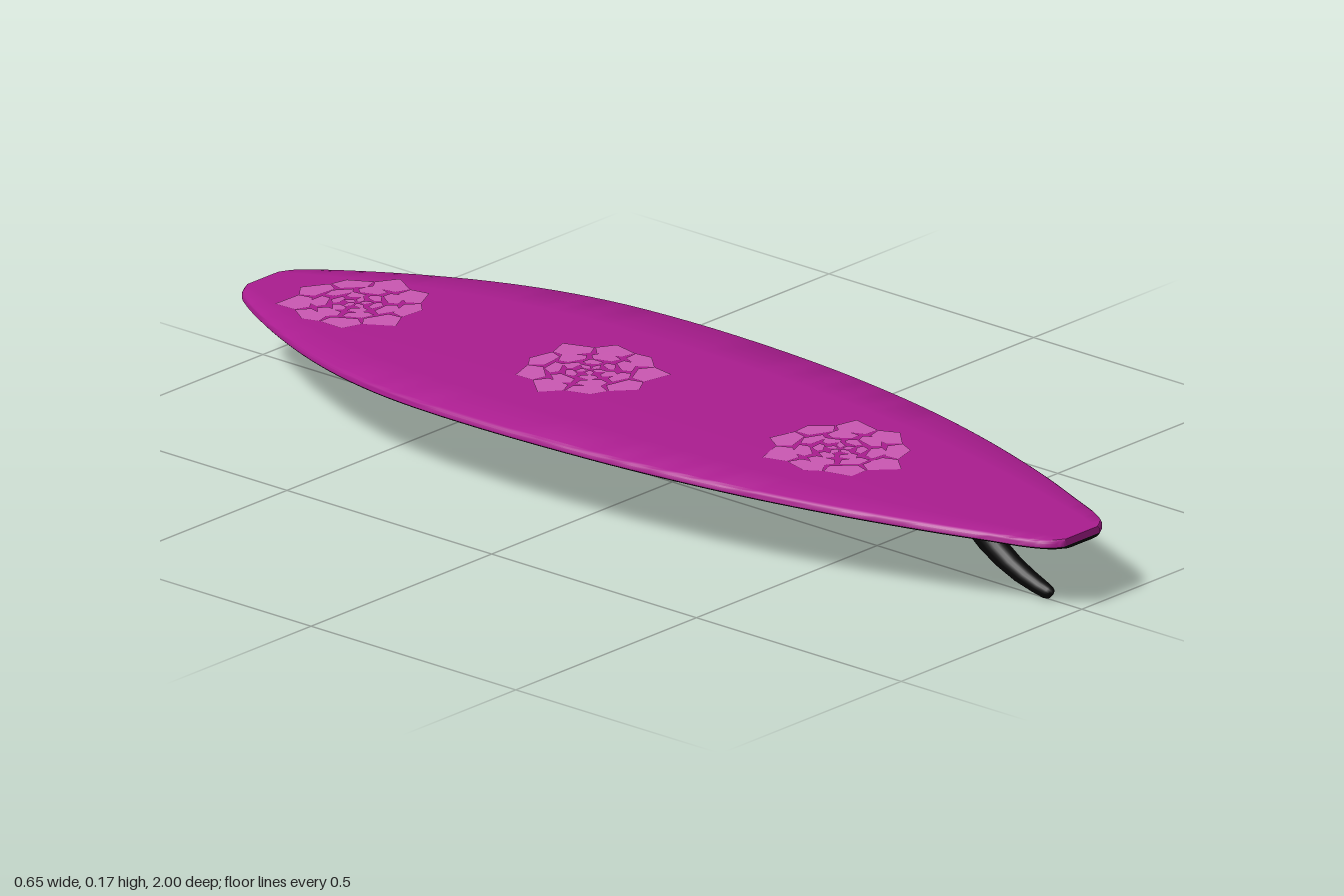
import * as THREE from 'three';
import { mergeGeometries, toCreasedNormals } from 'three/addons/utils/BufferGeometryUtils.js';

// Half width of the board along z, from nose to tail
const OUTLINE = [
  [-1, 0.05], [-0.985, 0.075], [-0.95, 0.103], [-0.9, 0.135], [-0.79, 0.195], [-0.66, 0.252],
  [-0.53, 0.292], [-0.39, 0.316], [-0.18, 0.325], [0.08, 0.314], [0.25, 0.295], [0.4, 0.27],
  [0.55, 0.235], [0.67, 0.2], [0.78, 0.163], [0.88, 0.124], [0.95, 0.096], [0.985, 0.073], [1, 0.05],
];
const SEAM = -0.014;

// Height of the deck: bent down toward both ends, slightly domed across
const deckY = (x, z) => 0.172 - 0.02 * z * z - 0.004 * (x / 0.325) ** 2;

// Surface through rows of points, all rows the same length
function skin(rows) {
  const n = rows[0].length, index = [];
  for (let i = 0; i < rows.length - 1; i++) {
    for (let j = 0; j < n - 1; j++) {
      const a = i * n + j, c = a + n;
      index.push(a, a + 1, c, a + 1, c + 1, c);
    }
  }
  const geo = new THREE.BufferGeometry();
  geo.setAttribute('position', new THREE.Float32BufferAttribute(rows.flat(2), 3));
  geo.setIndex(index);
  geo.computeVertexNormals();
  return geo;
}

// Half of the board; rail is a list of [inset from edge, drop], starting at the seam
function boardShell(rail, upward) {
  const curve = new THREE.CatmullRomCurve3(OUTLINE.map(([z, w]) => new THREE.Vector3(w, 0, z)), false, 'centripetal');
  const stations = curve.getPoints(72);
  const inner = rail[rail.length - 1];
  const row = (p, flat) => {
    const w = p.x;
    const half = rail.map(([inset, drop]) => [w - inset, drop]);
    half.push([(w - inner[0]) * 0.66, inner[1]], [(w - inner[0]) * 0.33, inner[1]]);
    const full = [...half, [0, inner[1]], ...half.map(([x, d]) => [-x, d]).reverse()];
    if (!upward) full.reverse();
    return full.map(([x, d]) => [x, deckY(x, p.z) + (flat ? SEAM : d), p.z]);
  };
  // The extra first and last rows fold down to the seam and close the ends
  const rows = [row(stations[0], true), ...stations.map((p) => row(p, false)), row(stations.at(-1), true)];
  return toCreasedNormals(skin(rows), 0.7);
}

// Swept-back fin: each station is [front z, y, back z, y, half width]
function finGeometry() {
  const stations = [
    [0.67, 0.152, 0.755, 0.152, 0.025], [0.695, 0.123, 0.767, 0.125, 0.024],
    [0.722, 0.092, 0.787, 0.104, 0.023], [0.757, 0.063, 0.815, 0.082, 0.022],
    [0.798, 0.039, 0.845, 0.062, 0.0205], [0.842, 0.02, 0.877, 0.046, 0.0185],
    [0.885, 0.008, 0.906, 0.034, 0.016], [0.91, 0.002, 0.924, 0.027, 0.012],
    [0.919, 0.003, 0.93, 0.023, 0.008], [0.928, 0.011, 0.931, 0.017, 0.002],
    [0.93, 0.014, 0.93, 0.014, 0],
  ];
  const rows = stations.map(([z0, y0, z1, y1, w]) => Array.from({ length: 21 }, (_, k) => {
    const a = -(k / 20) * Math.PI * 2, t = (1 - Math.cos(a)) / 2;
    return [w * Math.sin(a), y0 + (y1 - y0) * t, z0 + (z1 - z0) * t];
  }));
  return skin(rows);
}

// Rose-like decal made of rings of angular petals that follow the deck
function flowerGeometry(cx, cz, turn) {
  // [petals, inner radius, shoulder radius, tip radius, turn, share of the ring]
  const rings = [
    [9, 0.088, 0.118, 0.15, 0.1, 0.98],
    [7, 0.057, 0.077, 0.099, 0.3, 0.88],
    [6, 0.032, 0.045, 0.061, 0.75, 0.84],
    [5, 0.006, 0.018, 0.037, 0.3, 0.8],
  ];
  const petals = [];
  for (const [n, r0, r1, r2, start, share] of rings) {
    const h = (Math.PI / n) * share;
    for (let k = 0; k < n; k++) {
      const a = turn + start + (k / n) * Math.PI * 2;
      const tip = r2 * (1 - 0.07 * ((k * 2) % 3));
      const at = (r, b) => new THREE.Vector2(r * Math.cos(a + b), r * Math.sin(a + b));
      petals.push(new THREE.ShapeGeometry(new THREE.Shape([
        at(r0, -h * 0.85), at(r1, -h), at(tip, h * 0.2), at(r1, h), at(r0, h * 0.85),
      ])));
    }
  }
  const geo = mergeGeometries(petals).rotateX(-Math.PI / 2).translate(cx, 0, cz);
  const pos = geo.attributes.position;
  for (let i = 0; i < pos.count; i++) pos.setY(i, deckY(pos.getX(i), pos.getZ(i)) + 0.001);
  geo.computeVertexNormals();
  return geo;
}

export function createModel() {
  const group = new THREE.Group();
  const paint = (color) => new THREE.MeshStandardMaterial({ color, side: THREE.DoubleSide });
  const magenta = paint(0xab1d90), black = paint(0x060606), pink = paint(0xcb58b3);
  const add = (name, geo, material) => {
    const mesh = new THREE.Mesh(geo, material);
    mesh.name = name;
    group.add(mesh);
  };

  // Board
  add('deck', boardShell([[0, SEAM], [0, -0.006], [0.002, -0.003], [0.007, 0]], true), magenta);
  add('hull', boardShell([[0, SEAM], [0.003, -0.017], [0.009, -0.019], [0.02, -0.02]], false), black);

  // Fin under the tail
  add('fin', finGeometry(), black);

  // Flowers along the deck
  [[-0.77, 0], [-0.2, 0.9], [0.41, 0.35]].forEach(([z, turn], i) => {
    add(`flower${i + 1}`, flowerGeometry(0, z, turn), pink);
  });
  return group;
}
